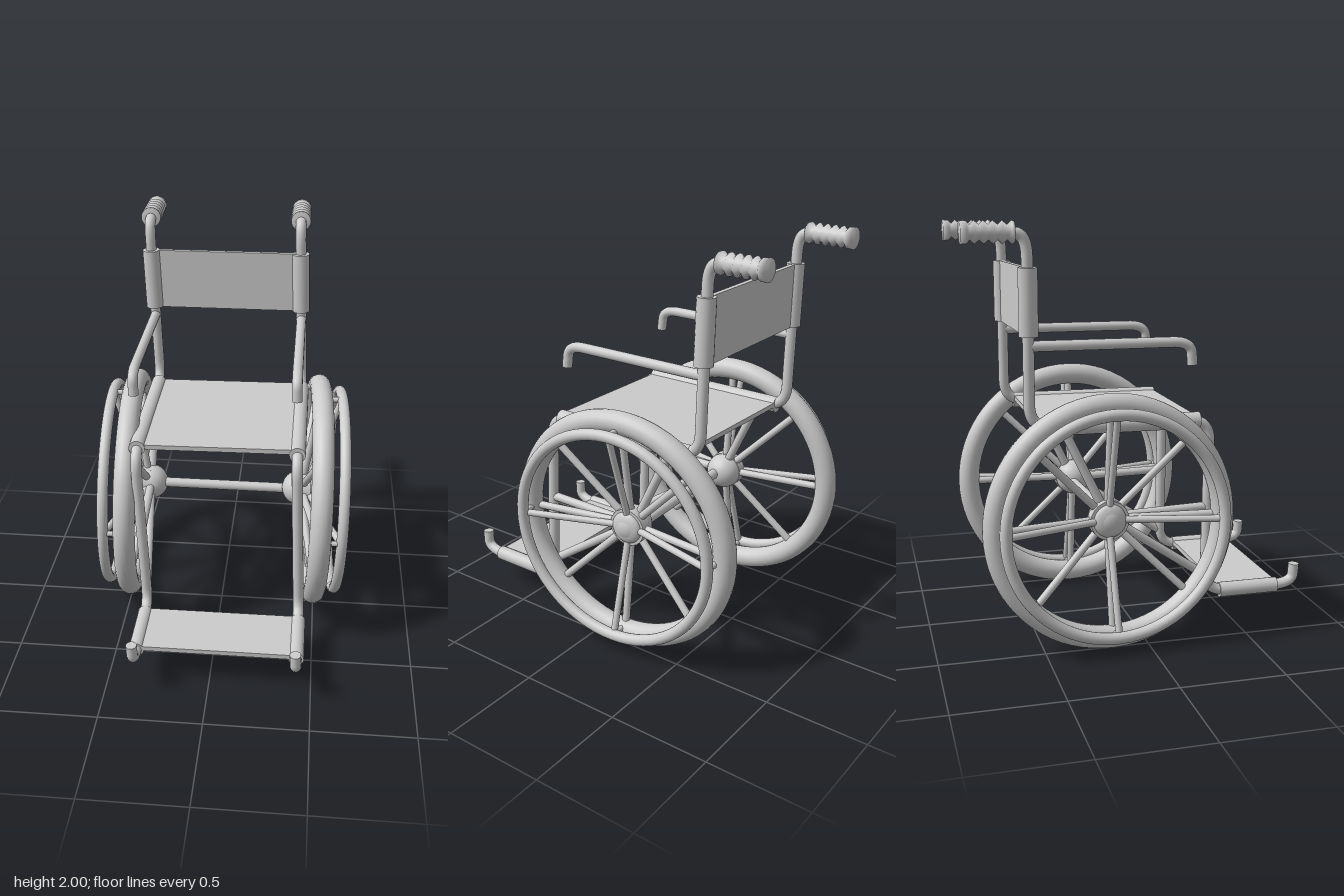
import * as THREE from 'three';
import { mergeGeometries } from 'three/addons/utils/BufferGeometryUtils.js';

const V = (x, y, z) => new THREE.Vector3(x, y, z);
const mat = new THREE.MeshStandardMaterial({ color: 0xcccccc, side: THREE.DoubleSide });
const HALF = 0.39; // half the spacing of the side frames

// the frame leans slightly sideways with height
const lean = (y) => 0.04 * (1.05 - y);
const P = (s, y, z) => V(s * HALF + lean(y), y, z);

function add(parent, name, geometry) {
  const m = new THREE.Mesh(geometry, mat);
  m.name = name;
  parent.add(m);
  return m;
}

// straight round bar between two points
function bar(a, b, r, r2 = r) {
  const d = b.clone().sub(a);
  const g = new THREE.CylinderGeometry(r2, r, d.length(), 20);
  const q = new THREE.Quaternion().setFromUnitVectors(V(0, 1, 0), d.clone().normalize());
  const mid = a.clone().add(b).multiplyScalar(0.5);
  return g.applyQuaternion(q).translate(mid.x, mid.y, mid.z);
}

// bent tube through corner points, with rounded corners and flat ends
function bentTube(pts, r, bend, segs = 120) {
  const path = new THREE.CurvePath();
  let last = pts[0];
  for (let i = 1; i < pts.length - 1; i++) {
    const p = pts[i];
    const toward = (q) => {
      const d = q.clone().sub(p);
      return p.clone().add(d.setLength(Math.min(bend, d.length() * 0.49)));
    };
    const a = toward(pts[i - 1]), b = toward(pts[i + 1]);
    path.add(new THREE.LineCurve3(last, a));
    path.add(new THREE.QuadraticBezierCurve3(a, p, b));
    last = b;
  }
  path.add(new THREE.LineCurve3(last, pts[pts.length - 1]));
  const caps = [0, 1].map((t) => {
    const dir = path.getTangentAt(t).multiplyScalar(t ? 1 : -1);
    const at = path.getPointAt(t);
    const q = new THREE.Quaternion().setFromUnitVectors(V(0, 0, 1), dir);
    return new THREE.CircleGeometry(r, 16).applyQuaternion(q).translate(at.x, at.y, at.z);
  });
  return mergeGeometries([new THREE.TubeGeometry(path, segs, r, 16), ...caps]);
}

// ribbed handle grip, running backwards along z
function gripGeometry(length) {
  const pts = [new THREE.Vector2(0, 0), new THREE.Vector2(0.05, 0)];
  const ribs = 5, step = (length - 0.035) / ribs;
  for (let i = 0; i < ribs; i++) {
    pts.push(new THREE.Vector2(0.052, i * step + 0.012));
    pts.push(new THREE.Vector2(0.034, (i + 0.6) * step + 0.006));
  }
  pts.push(new THREE.Vector2(0.05, length - 0.03), new THREE.Vector2(0.052, length), new THREE.Vector2(0, length));
  return new THREE.LatheGeometry(pts, 24).rotateX(-Math.PI / 2);
}

function sideFrame(s) {
  const g = new THREE.Group();
  g.name = s > 0 ? 'leftFrame' : 'rightFrame';

  // one continuous tube from the foot tip up to the push handle
  add(g, 'mainTube', bentTube([
    P(s, 0.29, 0.81), P(s, 0.185, 0.805), P(s, 0.185, 0.335), P(s, 1.065, 0.335),
    P(s, 1.065, -0.54), P(s, 1.95, -0.545), P(s, 1.95, -0.66),
  ], 0.027, 0.11, 260));

  // fabric sleeves around the tube
  add(g, 'seatSleeve', bar(P(s, 1.065, 0.28), P(s, 1.065, -0.49), 0.04));
  add(g, 'backSleeve', bar(P(s, 1.49, -0.54), P(s, 1.8, -0.542), 0.045));
  add(g, 'footSleeve', bar(P(s, 0.185, 0.41), P(s, 0.185, 0.715), 0.037));

  // armrest with a drooping front end
  add(g, 'armrest', bentTube([
    P(s, 1.445, -0.54), P(s, 1.445, 0.23), P(s, 1.335, 0.24),
  ], 0.025, 0.09));

  const grip = add(g, 'handleGrip', gripGeometry(0.24));
  grip.position.copy(P(s, 1.953, -0.6));

  // struts from the hub to the frame
  const hub = V(s * 0.4, 0.62, -0.175);
  for (const end of [P(s, 1.05, -0.38), P(s, 0.63, 0.33), P(s, 0.28, 0.32)])
    add(g, 'frameStrut', bar(hub, end, 0.022));
  return g;
}

function wheel(s) {
  const g = new THREE.Group();
  g.name = s > 0 ? 'leftWheel' : 'rightWheel';
  const ring = (R, r) => new THREE.TorusGeometry(R, r, 20, 72).rotateY(Math.PI / 2);
  const at = (x, r, a) => V(s * x, r * Math.cos(a), r * Math.sin(a));

  add(g, 'tire', ring(0.557, 0.055));
  add(g, 'handRim', ring(0.527, 0.028).translate(s * 0.11, 0, 0));

  // hub: ball on the inside, flatter dome on the outside
  add(g, 'hubBall', new THREE.SphereGeometry(0.092, 28, 20).translate(-s * 0.085, 0, 0));
  add(g, 'hubFlange', bar(V(-s * 0.085, 0, 0), V(-s * 0.03, 0, 0), 0.095));
  add(g, 'hubCap', new THREE.SphereGeometry(0.08, 28, 16).scale(0.4, 1, 1).translate(-s * 0.03, 0, 0));

  // eight spokes; every second one is doubled to carry the hand rim
  for (let i = 0; i < 8; i++) {
    const a = i * Math.PI / 4;
    add(g, 'spoke', bar(at(-0.07, 0.05, a), at(0, 0.54, a), 0.019));
    if (i % 2 === 0) {
      add(g, 'rimSpoke', bar(at(-0.04, 0.05, a), at(0.1, 0.52, a), 0.017));
      add(g, 'rimPeg', bar(at(0, 0.53, a), at(0.11, 0.53, a), 0.014));
    }
  }
  g.position.set(s * 0.486, s > 0 ? 0.621 : 0.616, -0.174);
  g.rotation.set(0, 0.055, -0.022);
  return g;
}

// thin fabric panel between two heights / depths, spanning the frame
function panel(y0, z0, y1, z1, t) {
  const len = Math.hypot(y1 - y0, z1 - z0);
  const geo = new THREE.BoxGeometry(2 * HALF, t, len);
  geo.rotateX(Math.atan2(y0 - y1, z1 - z0));
  const y = (y0 + y1) / 2;
  return geo.translate(lean(y), y, (z0 + z1) / 2);
}

export function createModel() {
  const model = new THREE.Group();
  model.name = 'wheelchair';
  for (const s of [-1, 1]) model.add(sideFrame(s), wheel(s));

  add(model, 'seat', panel(1.075, -0.49, 1.075, 0.275, 0.024)).rotation.z = 0.01;
  add(model, 'backrest', panel(1.49, -0.545, 1.8, -0.546, 0.024));
  add(model, 'footrest', panel(0.195, 0.41, 0.195, 0.715, 0.024));
  add(model, 'axle', bar(V(-0.4, 0.622, -0.165), V(0.4, 0.606, -0.185), 0.026));
  return model;
}
